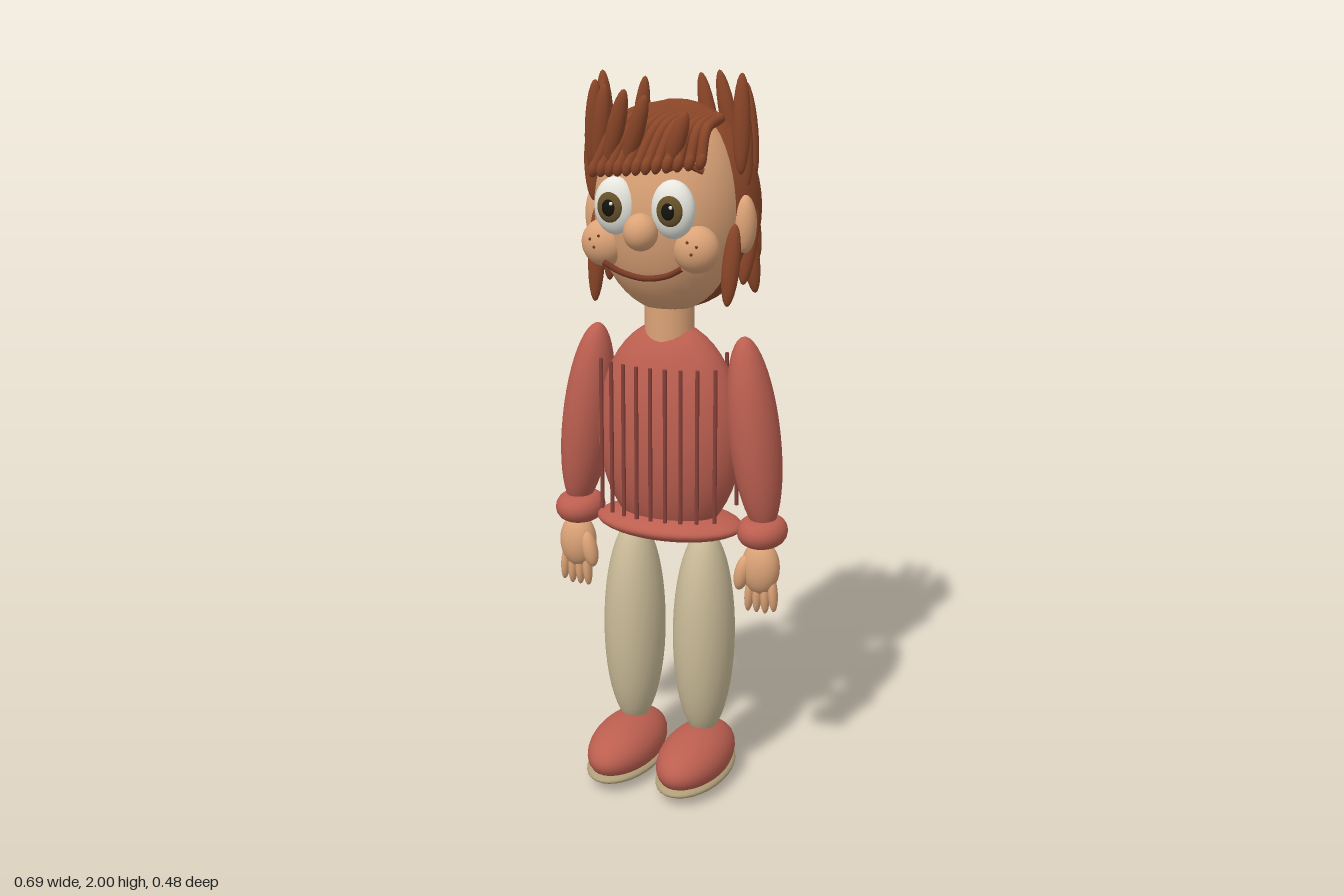
import * as THREE from 'three';

const mat = (name, color) => Object.assign(new THREE.MeshStandardMaterial({ color }), { name });

export function createModel() {
  const model = new THREE.Group();
  model.name = 'puppetBoy';
  const skin = mat('skin', 0xdca377);
  const hair = mat('hair', 0x8b4628);
  const sweater = mat('sweater', 0xbc5f50);
  const ribRed = mat('ribRed', 0x87403a);
  const trousers = mat('trousers', 0xcabb98);
  const soleTan = mat('soleTan', 0xb09e79);
  const white = mat('eyeWhite', 0xeeeee6);
  const olive = mat('irisBrown', 0x66522a);
  const black = mat('pupilBlack', 0x15120f);
  const lipBrown = mat('mouthBrown', 0x7a3a26);

  const ball = new THREE.SphereGeometry(1, 32, 24);
  const smallBall = new THREE.SphereGeometry(1, 14, 12);

  const add = (name, geometry, material, parent = model) => {
    const mesh = new THREE.Mesh(geometry, material);
    mesh.name = name;
    parent.add(mesh);
    return mesh;
  };
  // Ellipsoid from centre and radii, with optional rotation
  const blob = (name, material, pos, radii, rot = [0, 0, 0], parent = model, geometry = ball) => {
    const mesh = add(name, geometry, material, parent);
    mesh.position.set(...pos);
    mesh.scale.set(...radii);
    mesh.rotation.set(...rot);
    return mesh;
  };
  const tube = (name, material, points, radius, parent = model) => {
    const curve = new THREE.CatmullRomCurve3(points.map(p => new THREE.Vector3(...p)));
    return add(name, new THREE.TubeGeometry(curve, 20, radius, 10), material, parent);
  };

  // Torso, hem and neck
  blob('torso', sweater, [0, 1.02, 0], [0.21, 0.315, 0.13]);
  blob('sweaterHem', sweater, [0, 0.76, 0], [0.215, 0.041, 0.135]);
  const neck = add('neck', new THREE.CylinderGeometry(0.068, 0.068, 0.16, 24), skin);
  neck.position.y = 1.35;

  // Upright knit ribs on the front and back of the sweater
  const ribs = new THREE.Group();
  ribs.name = 'sweaterRibs';
  model.add(ribs);
  const ribGeo = new THREE.CylinderGeometry(0.006, 0.006, 0.43, 8);
  for (const side of [1, -1]) {
    for (let i = -4; i <= 4; i++) {
      const x = i * 0.042;
      const rib = add('rib', ribGeo, ribRed, ribs);
      rib.position.set(x, 1.015, side * 0.134 * Math.sqrt(1 - (x / 0.215) ** 2));
    }
  }

  // Limbs, mirrored
  const cuffGeo = new THREE.TorusGeometry(0.034, 0.037, 16, 28).rotateX(Math.PI / 2);
  for (const s of [1, -1]) {
    const side = s > 0 ? 'left' : 'right';
    blob(side + 'Sleeve', sweater, [s * 0.25, 1.035, 0], [0.069, 0.275, 0.08], [0, 0, s * 0.13]);
    const cuff = add(side + 'Cuff', cuffGeo, sweater);
    cuff.position.set(s * 0.277, 0.766, 0);
    cuff.scale.set(0.97, 1.05, 1.15);

    const hand = new THREE.Group();
    hand.name = side + 'Hand';
    model.add(hand);
    blob('palm', skin, [s * 0.279, 0.665, 0.015], [0.054, 0.078, 0.045], [0, 0, 0], hand);
    for (let i = 0; i < 4; i++) {
      blob('finger', skin, [s * (0.249 + i * 0.023), 0.585 + (i === 3 ? 0.008 : 0), 0.02],
        [0.013, 0.053, 0.018], [0, 0, s * 0.05 * (i - 1.5)], hand, smallBall);
    }
    blob('thumb', skin, [s * 0.233, 0.65, 0.035], [0.022, 0.053, 0.024], [0, 0, s * -0.22], hand);

    blob(side + 'Leg', trousers, [s * 0.107, 0.435, 0.003], [0.086, 0.315, 0.101]);
    blob(side + 'Shoe', sweater, [s * 0.107, 0.08, 0.058], [0.097, 0.08, 0.183]);
    blob(side + 'Sole', soleTan, [s * 0.107, 0.037, 0.058], [0.099, 0.028, 0.186]);
  }

  // Head and face
  const head = new THREE.Group();
  head.name = 'head';
  model.add(head);
  blob('face', skin, [0, 1.64, 0], [0.203, 0.28, 0.188], [0, 0, 0], head);
  blob('nose', skin, [0, 1.605, 0.19], [0.046, 0.049, 0.046], [0, 0, 0], head);
  for (const s of [1, -1]) {
    blob('ear', skin, [s * 0.214, 1.61, 0], [0.031, 0.077, 0.034], [0, 0, 0], head);
    blob('cheek', skin, [s * 0.13, 1.56, 0.13], [0.063, 0.063, 0.053], [0, 0, 0], head);
    blob('eyeball', white, [s * 0.08, 1.665, 0.165], [0.06, 0.076, 0.04], [0, 0, 0], head);
    blob('iris', olive, [s * 0.083, 1.665, 0.195], [0.036, 0.041, 0.015], [0, 0, 0], head);
    blob('pupil', black, [s * 0.083, 1.665, 0.207], [0.018, 0.022, 0.008], [0, 0, 0], head);
    blob('eyeGlint', white, [s * 0.083 + 0.01, 1.677, 0.213], [0.005, 0.005, 0.003], [0, 0, 0], head, smallBall);
    tube('eyebrow', hair, [[s * 0.06, 1.765, 0.168], [s * 0.1, 1.78, 0.15], [s * 0.145, 1.76, 0.122]], 0.009, head);
    for (const [fx, fy, fz] of [[0.125, 1.585, 0.18], [0.15, 1.575, 0.179], [0.137, 1.555, 0.183]]) {
      blob('freckle', lipBrown, [s * fx, fy, fz], [0.004, 0.004, 0.003], [0, 0, 0], head, smallBall);
    }
  }
  tube('mouth', lipBrown, [[-0.112, 1.517, 0.178], [-0.065, 1.492, 0.17], [0, 1.48, 0.167],
    [0.065, 1.492, 0.17], [0.112, 1.517, 0.178]], 0.008, head);

  // Hair cap over the back of the head
  const hairGroup = new THREE.Group();
  hairGroup.name = 'hair';
  model.add(hairGroup);
  blob('hairCap', hair, [0, 1.64, -0.058], [0.232, 0.28, 0.174], [0, 0, 0], hairGroup);

  // Pointed locks: x, y, z, half length, forward tilt, sideways tilt
  const lock = ([x, y, z, h, rx, rz]) =>
    blob('lock', hair, [x, y, z], [0.024, h, 0.02], [rx, 0, rz], hairGroup, smallBall);
  const frontAndSideLocks = [
    [-0.205, 1.86, -0.04, 0.13, 0, 0.05], [-0.2, 1.85, -0.01, 0.12, 0.05, -0.05],
    [-0.195, 1.84, 0.045, 0.12, 0, -0.05], [-0.175, 1.86, 0.095, 0.12, 0.1, -0.1],
    [-0.135, 1.86, 0.135, 0.115, 0.1, -0.15], [-0.08, 1.86, 0.165, 0.11, 0.15, -0.3],
    [-0.02, 1.86, 0.175, 0.1, 0.15, -0.35], [0.09, 1.84, 0.165, 0.08, 0.1, -0.35],
    [0.205, 1.87, 0.01, 0.13, 0, 0], [0.2, 1.83, -0.02, 0.13, 0, 0.08],
    [-0.19, 1.515, 0.055, 0.135, 0, -0.05], [0.2, 1.51, 0.062, 0.11, -0.05, -0.08],
    [-0.21, 1.75, 0.03, 0.1, 0, 0.03], [0.21, 1.55, -0.04, 0.11, -0.1, -0.1],
  ];
  const backLocks = [
    [-0.155, 1.83, -0.16, 0.14, 0.1, -0.15], [-0.175, 1.6, -0.13, 0.12, 0.1, 0.15],
    [-0.08, 1.75, -0.215, 0.13, 0.05, -0.2], [-0.04, 1.6, -0.22, 0.12, 0, -0.3],
    [0.03, 1.85, -0.205, 0.13, 0, 0.2], [0.065, 1.7, -0.21, 0.13, 0, 0.3],
    [0.09, 1.86, -0.195, 0.13, 0.05, 0.2], [0.12, 1.56, -0.18, 0.13, 0.05, 0.3],
    [0.16, 1.83, -0.15, 0.15, 0.05, 0.1], [0.18, 1.62, -0.13, 0.13, 0.1, 0.15],
    [0.19, 1.84, -0.09, 0.13, 0, 0.1], [0.205, 1.52, -0.07, 0.11, 0.1, 0.1],
    [-0.205, 1.53, -0.07, 0.12, 0.1, -0.1], [0.02, 1.5, -0.2, 0.1, -0.1, 0.2],
    [-0.1, 1.5, -0.18, 0.1, -0.1, 0.15],
  ];
  [...frontAndSideLocks, ...backLocks].forEach(lock);

  // Fringe: strands sweeping from the parting down over the brow
  for (let i = 0; i < 12; i++) {
    const t = i / 11;
    const top = [0.012 + 0.145 * t, 1.915 - 0.03 * t, 0.03 + 0.012 * t];
    const end = [-0.15 + 0.3 * t, 1.755 + 0.035 * t, 0.15 + 0.055 * Math.sin(Math.PI * t) * 0.6];
    const mid = [top[0] * 0.45 + end[0] * 0.55, 1.885 - 0.02 * t, 0.125 + 0.01 * Math.sin(Math.PI * t)];
    tube('fringeStrand', hair, [top, mid, end], 0.014, hairGroup);
    blob('fringeTip', hair, end, [0.014, 0.024, 0.014], [0, 0, -0.25], hairGroup, smallBall);
    blob('fringeRoot', hair, top, [0.014, 0.014, 0.014], [0, 0, 0], hairGroup, smallBall);
  }

  return model;
}
